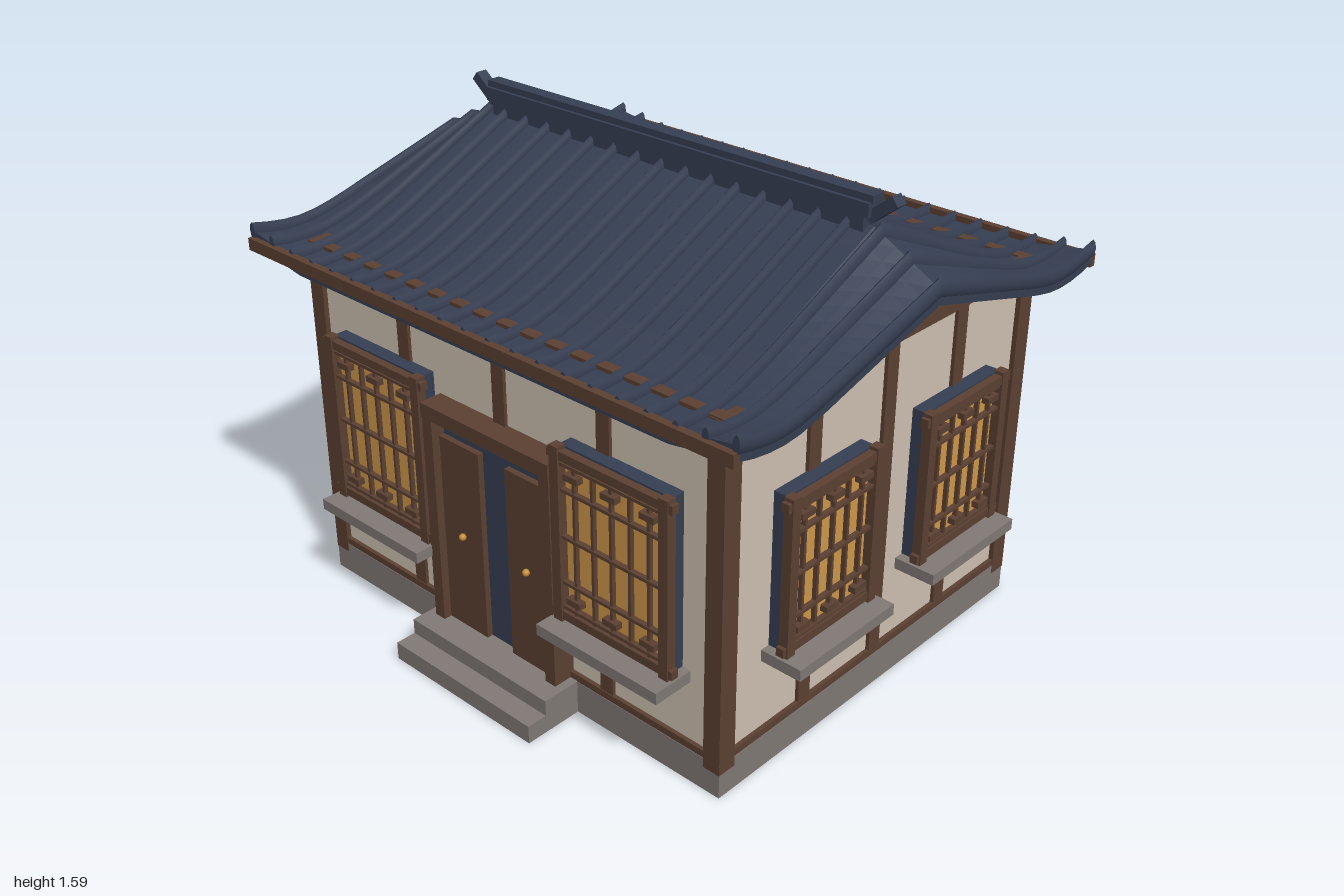
import * as THREE from 'three';

const mat = (name, color) => {
  const m = new THREE.MeshStandardMaterial({ color });
  m.name = name;
  return m;
};

// Roof heights: [distance from ridge, height mid-roof, height at the gable ends]
const PROFILE = [
  [0, 1.48, 1.36], [0.2, 1.385, 1.305], [0.4, 1.29, 1.25], [0.5, 1.245, 1.222],
  [0.58, 1.215, 1.205], [0.66, 1.193, 1.198], [0.74, 1.185, 1.205], [0.82, 1.187, 1.225],
];

function roofY(x, z) {
  const s = Math.min(Math.abs(z), 0.8199);
  const i = PROFILE.findIndex((p) => p[0] > s);
  const [a, b] = [PROFILE[i - 1], PROFILE[i]];
  const k = (s - a[0]) / (b[0] - a[0]);
  const mid = a[1] + (b[1] - a[1]) * k;
  const end = a[2] + (b[2] - a[2]) * k;
  const t = THREE.MathUtils.clamp((Math.abs(x) - 0.76) / 0.23, 0, 1);
  return mid + (end - mid) * t;
}

// Drapes a flat geometry over the roof curve
function drape(geometry) {
  const p = geometry.attributes.position;
  for (let i = 0; i < p.count; i++) p.setY(i, p.getY(i) + roofY(p.getX(i), p.getZ(i)));
  geometry.computeVertexNormals();
  return geometry;
}

export function createModel() {
  const M = {
    wood: mat('dark wood', 0x5c4133),
    plaster: mat('plaster', 0xd0c2b3),
    stone: mat('stone', 0x827a77),
    tile: mat('blue slate', 0x363f53),
    paper: mat('lit paper', 0xd0984a),
    brass: mat('brass', 0xc48f35),
  };
  const model = new THREE.Group();
  model.name = 'house';

  const add = (parent, name, geometry, material) => {
    const mesh = new THREE.Mesh(geometry, material);
    mesh.name = name;
    parent.add(mesh);
    return mesh;
  };
  // Box given by its minimum and maximum along each axis
  const box = (parent, name, material, x0, x1, y0, y1, z0, z1) => {
    const mesh = add(parent, name, new THREE.BoxGeometry(x1 - x0, y1 - y0, z1 - z0), material);
    mesh.position.set((x0 + x1) / 2, (y0 + y1) / 2, (z0 + z1) / 2);
    return mesh;
  };
  const group = (name, parent = model) => {
    const g = new THREE.Group();
    g.name = name;
    parent.add(g);
    return g;
  };

  // Stone base and steps
  box(model, 'foundation', M.stone, -0.86, 0.86, 0, 0.11, -0.75, 0.68);
  box(model, 'upperStep', M.stone, -0.3, 0.3, 0, 0.112, 0.67, 0.81);
  box(model, 'lowerStep', M.stone, -0.3, 0.3, 0, 0.06, 0.8, 0.88);

  // Shell and roof are centred on the ridge line
  const shell = group('shell');
  shell.position.z = -0.035;
  box(shell, 'walls', M.plaster, -0.845, 0.845, 0.1, 1.19, -0.7, 0.7);

  // Timber framing
  for (const sx of [-1, 1]) {
    for (const sz of [-1, 1]) {
      const post = box(shell, 'cornerPost', M.wood, -0.03, 0.03, 0.08, 1.195, -0.0325, 0.0325);
      post.position.x = sx * 0.831;
      post.position.z = sz * 0.684;
    }
  }
  for (const s of [-1, 1]) {
    for (const x of [-0.42, 0, 0.42]) {
      const stud = box(shell, 'wallStud', M.wood, x - 0.025, x + 0.025, 0.11, 1.19, -0.01, 0.01);
      stud.position.z = s * 0.701;
    }
    for (const z of [-0.34, 0, 0.34]) {
      const stud = box(shell, 'sideStud', M.wood, -0.01, 0.01, 0.11, 1.19, z - 0.026, z + 0.026);
      stud.position.x = s * 0.847;
    }
    for (const [y0, y1] of [[0.105, 0.133], [1.155, 1.2]]) {
      const long = box(shell, 'longBeam', M.wood, -0.857, 0.857, y0, y1, -0.0175, 0.0175);
      long.position.z = s * 0.696;
      const cross = box(shell, 'crossBeam', M.wood, -0.0175, 0.0175, y0, y1, -0.712, 0.712);
      cross.position.x = s * 0.841;
    }
  }

  // Curved roof slab and tile ribs
  const roof = group('roof', shell);
  const slab = new THREE.BoxGeometry(1.98, 0.045, 1.64, 26, 1, 28).translate(0, -0.0225, 0).toNonIndexed();
  add(roof, 'roofSlab', drape(slab), M.tile);
  for (let i = -10; i <= 10; i++) {
    const rib = new THREE.CylinderGeometry(0.012, 0.012, 1.65, 8, 28);
    rib.rotateX(Math.PI / 2).scale(1, 2.4, 1).translate(i * 0.0985, 0.002, 0);
    add(roof, 'tileRib', drape(rib), M.tile);
  }
  for (const s of [-1, 1]) {
    const fascia = box(roof, 'fascia', M.wood, -0.99, 0.99, 1.167, 1.207, -0.012, 0.012);
    fascia.position.z = s * 0.828;
  }

  // Ridge cap with upturned ends
  box(roof, 'ridgeBase', M.tile, -0.745, 0.745, 1.46, 1.515, -0.028, 0.028);
  box(roof, 'ridgeBody', M.tile, -0.765, 0.765, 1.512, 1.555, -0.036, 0.036);
  box(roof, 'ridgeTop', M.tile, -0.77, 0.77, 1.552, 1.575, -0.024, 0.024);
  for (const s of [-1, 1]) {
    const horn = box(roof, 'ridgeHorn', M.tile, -0.055, 0.055, -0.017, 0.017, -0.02, 0.02);
    horn.position.set(s * 0.795, 1.54, 0);
    horn.rotation.z = s * 0.68;
  }

  // Lattice window, back at z = 0, centred on x = 0; yb and yt bound the frame
  const makeWindow = (name, w, yb, yt) => {
    const g = group(name);
    const h = yt - yb;
    const yc = (yb + yt) / 2;
    box(g, 'windowCase', M.tile, -w, w, yb + 0.01, yt - 0.005, -0.01, 0.036);
    box(g, 'paperPane', M.paper, -w + 0.025, w - 0.025, yb + 0.04, yt - 0.035, 0.034, 0.039);
    for (const s of [-1, 1]) {
      const x = s * (w - 0.005);
      box(g, 'frameSide', M.wood, x - 0.017, x + 0.017, yb, yt, 0.034, 0.066);
      const y = yc + s * (h / 2 - 0.025);
      box(g, 'frameRail', M.wood, -w - 0.025, w + 0.025, y - 0.014, y + 0.014, 0.036, 0.062);
      const d = yc + s * h * 0.355;
      for (const k of [-1, 0, 1]) {
        const cx = k * w * 0.68;
        box(g, 'latticeBlock', M.wood, cx - 0.027, cx + 0.027, d - 0.01, d + 0.01, 0.04, 0.064);
      }
    }
    for (let i = -2; i <= 2; i++) {
      const x = i * w * 0.335;
      box(g, 'latticeBar', M.wood, x - 0.005, x + 0.005, yb + 0.02, yt - 0.02, 0.04, 0.054);
    }
    for (const k of [-0.41, -0.265, 0, 0.265, 0.41]) {
      const y = yc + k * h;
      box(g, 'latticeCross', M.wood, -w, w, y - 0.005, y + 0.005, 0.041, 0.058);
    }
    box(g, 'windowSill', M.stone, -w - 0.025, w + 0.025, yb - 0.034, yb + 0.003, -0.02, 0.124);
    return g;
  };
  for (const s of [-1, 1]) {
    makeWindow('frontWindow', 0.21, 0.365, 0.94).position.set(s * 0.502, 0, 0.68);
    const side = makeWindow('sideWindow', 0.19, 0.398, 0.91);
    side.rotation.y = Math.PI / 2;
    side.position.set(0.86, 0, s * 0.314 - 0.035);
  }

  // Entrance
  const door = group('entrance');
  box(door, 'doorRecess', M.tile, -0.235, 0.235, 0.11, 0.825, 0.66, 0.695);
  box(door, 'doorLintel', M.wood, -0.272, 0.272, 0.82, 0.868, 0.66, 0.745);
  for (const s of [-1, 1]) {
    const jamb = box(door, 'doorJamb', M.wood, -0.021, 0.021, 0.11, 0.822, 0.66, 0.742);
    jamb.position.x = s * 0.25;
    const leaf = box(door, 'doorLeaf', M.wood, -0.086, 0.086, 0.11, 0.76, 0.69, 0.715);
    leaf.position.x = s * 0.143;
    const knob = add(door, 'doorKnob', new THREE.SphereGeometry(0.012, 10, 8), M.brass);
    knob.position.set(s * 0.14, 0.445, 0.722);
  }
  return model;
}
